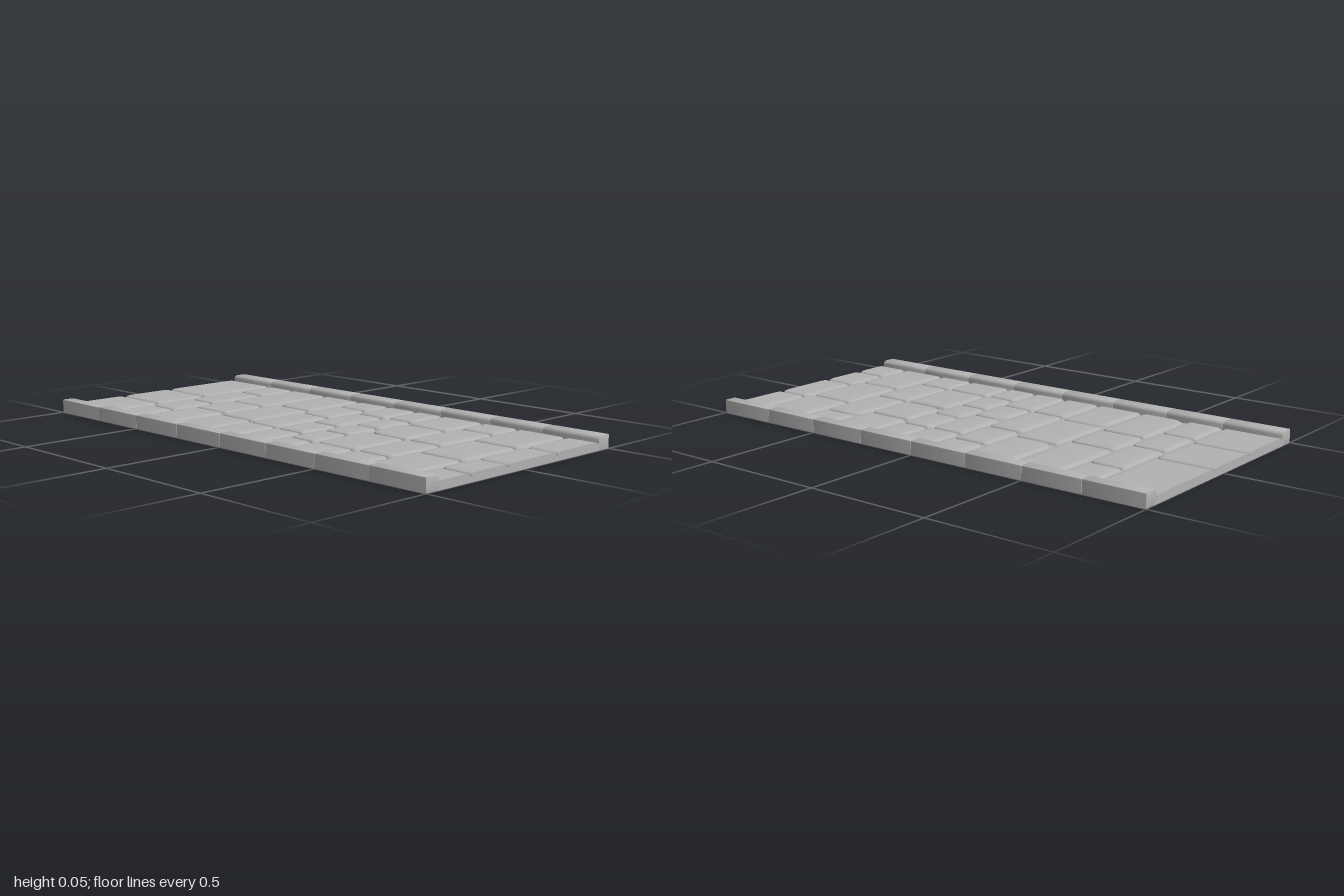
import * as THREE from 'three';
import { toCreasedNormals } from 'three/addons/utils/BufferGeometryUtils.js';

const HALF = 0.437; // half width of the paved surface
const GAP = 0.009;

// Rows from back to front: front edge z of the row, then the joints between its stones
const ROWS = [
  [-0.757, -0.185, 0.065],
  [-0.6, -0.23, -0.02, 0.25],
  [-0.395, -0.13, 0.075],
  [-0.19, -0.165, 0.14],
  [-0.025, -0.19, 0.09, 0.3],
  [0.13, -0.2, -0.01, 0.24],
  [0.27, -0.28, -0.1, 0.065, 0.25],
  [0.475, -0.275, -0.01, 0.21],
  [0.645, -0.275, -0.01, 0.285],
  [0.86, -0.145, 0.15],
  [1, -0.28, -0.085, 0.185],
];

// Worn corners, keyed by row and stone: 0 back +x, 1 back -x, 2 front -x, 3 front +x
const WORN = { '2,0': 1, '3,0': 0, '3,2': 1, '5,1': 0, '7,2': 1, '8,2': 0 };

// Pillow profile of a stone: inset from its outline and height
const PROFILE = [[0, 0.006], [0, 0.022], [0.003, 0.027], [0.009, 0.0305], [0.02, 0.0323], [0.038, 0.033]];

// Rounded rectangle rings lofted into a pillow; ends are cut flush at z = -1 and 1
function stoneGeometry(x0, x1, z0, z1, worn) {
  const cx = (x0 + x1) / 2, cz = (z0 + z1) / 2;
  const hw = (x1 - x0) / 2, hd = (z1 - z0) / 2;
  const pos = [], index = [], steps = 5, n = 4 * (steps + 1);
  for (const [inset, y] of PROFILE) {
    for (let c = 0; c < 4; c++) {
      const r = Math.max((c === worn ? 0.055 : 0.02) - inset, 0.006);
      const sx = c === 0 || c === 3 ? 1 : -1, sz = c < 2 ? -1 : 1;
      for (let k = 0; k <= steps; k++) {
        const a = (c + k / steps) * Math.PI / 2;
        const x = cx + sx * (hw - inset - r) + r * Math.cos(a);
        const z = cz + sz * (hd - inset - r) - r * Math.sin(a);
        pos.push(x, y, THREE.MathUtils.clamp(z, -1, 1));
      }
    }
  }
  for (let i = 0; i < PROFILE.length - 1; i++) {
    for (let j = 0; j < n; j++) {
      const a = i * n + j, b = i * n + (j + 1) % n;
      index.push(a, b, a + n, b, b + n, a + n);
    }
  }
  const last = (PROFILE.length - 1) * n;
  pos.push(cx, 0.0333, THREE.MathUtils.clamp(cz, -1, 1));
  for (let j = 0; j < n; j++) index.push(last + n, last + j, last + (j + 1) % n);
  const g = new THREE.BufferGeometry();
  g.setAttribute('position', new THREE.Float32BufferAttribute(pos, 3));
  g.setIndex(index);
  return toCreasedNormals(g, 0.9);
}

// Kerb block cross-section, rounded on the inner top edge, extruded along z
function kerbGeometry(side, length) {
  const s = new THREE.Shape();
  s.moveTo(side * 0.5, 0);
  s.lineTo(side * 0.5, 0.051);
  s.quadraticCurveTo(side * 0.5, 0.054, side * 0.496, 0.054);
  s.lineTo(side * 0.456, 0.054);
  s.quadraticCurveTo(side * 0.437, 0.053, side * 0.437, 0.034);
  s.lineTo(side * 0.437, 0);
  s.closePath();
  const bevel = 0.002;
  const g = new THREE.ExtrudeGeometry(s, {
    depth: length - 2 * bevel, curveSegments: 6, bevelEnabled: true,
    bevelSize: bevel, bevelOffset: -bevel, bevelThickness: bevel, bevelSegments: 2,
  });
  g.translate(0, 0, bevel - length / 2);
  return toCreasedNormals(g, 0.7);
}

export function createModel() {
  const model = new THREE.Group();
  model.name = 'pavedPath';
  const stoneGrey = new THREE.MeshStandardMaterial({ color: 0xb2b2b2 });
  stoneGrey.name = 'stoneGrey';
  const add = (parent, name, geometry) => {
    const mesh = new THREE.Mesh(geometry, stoneGrey);
    mesh.name = name;
    parent.add(mesh);
    return mesh;
  };

  // Bed under the stones
  add(model, 'bed', new THREE.BoxGeometry(0.9, 0.02, 2)).position.y = 0.01;

  // Paving stones
  const paving = new THREE.Group();
  paving.name = 'paving';
  model.add(paving);
  let back = -1;
  ROWS.forEach(([front, ...joints], row) => {
    const xs = [-HALF - GAP / 2, ...joints, HALF + GAP / 2];
    const z0 = row === 0 ? -1.06 : back + GAP / 2;
    const z1 = row === ROWS.length - 1 ? 1.06 : front - GAP / 2;
    for (let i = 0; i < xs.length - 1; i++) {
      const g = stoneGeometry(xs[i] + GAP / 2, xs[i + 1] - GAP / 2, z0, z1, WORN[`${row},${i}`]);
      add(paving, 'pavingStone', g);
    }
    back = front;
  });

  // Kerb blocks along both sides
  for (const side of [-1, 1]) {
    const kerb = new THREE.Group();
    kerb.name = side > 0 ? 'leftKerb' : 'rightKerb';
    model.add(kerb);
    const g = kerbGeometry(side, 0.25);
    for (let i = 0; i < 8; i++) add(kerb, 'kerbBlock', g).position.z = -0.875 + i * 0.25;
  }
  return model;
}
